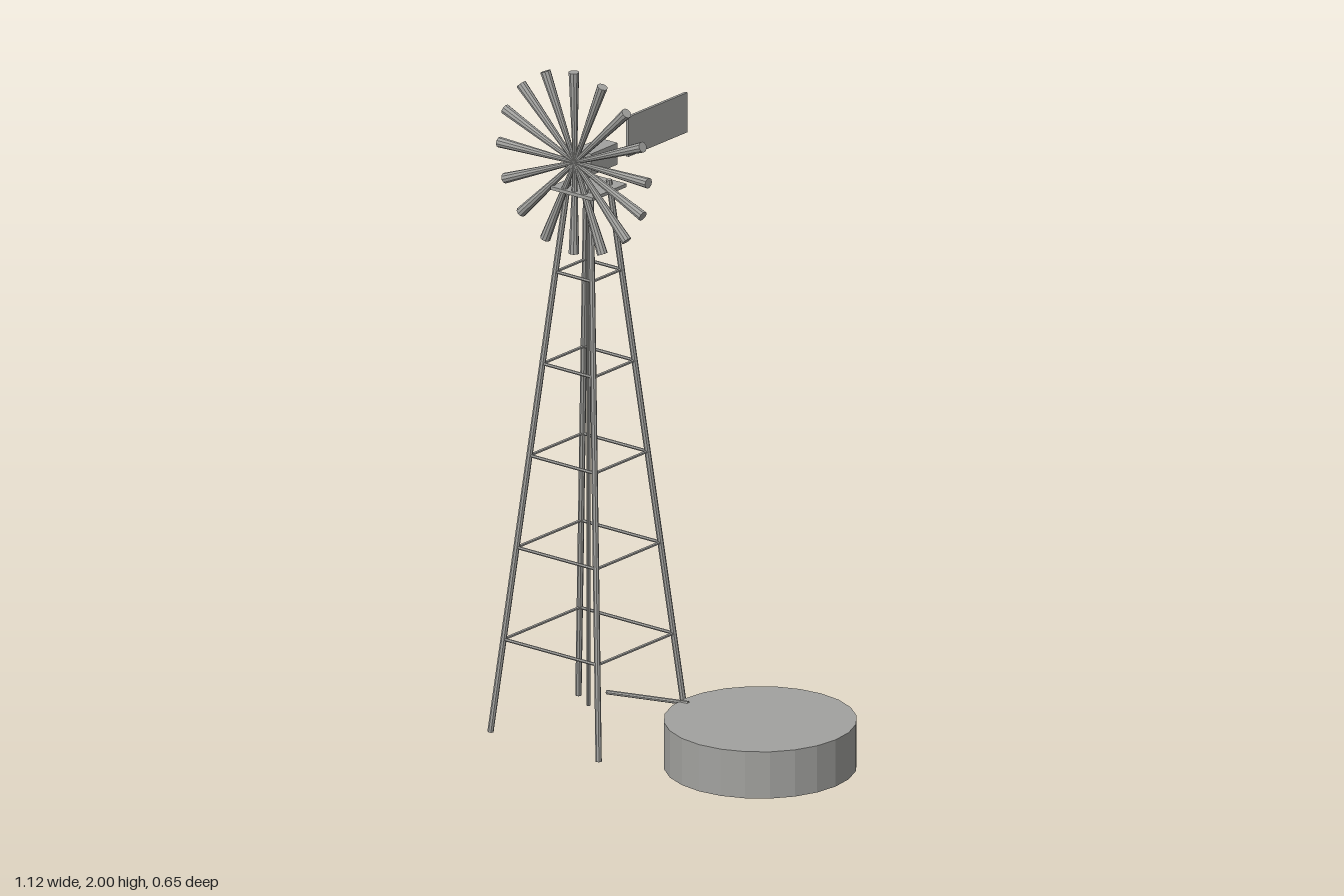
import * as THREE from 'three';

const CX = -0.288, CZ = 0.115; // tower axis
const V = (x, y, z) => new THREE.Vector3(x, y, z);

export function createModel() {
  const model = new THREE.Group();
  model.name = 'windpump';
  const steel = new THREE.MeshStandardMaterial({ color: 0xa2a29f, flatShading: true });
  steel.name = 'galvanised grey';

  const add = (parent, name, geometry, position) => {
    const mesh = new THREE.Mesh(geometry, steel);
    mesh.name = name;
    if (position) mesh.position.copy(position);
    parent.add(mesh);
    return mesh;
  };
  const group = (name) => {
    const g = new THREE.Group();
    g.name = name;
    model.add(g);
    return g;
  };
  // Round bar from a to b, with a radius at each end
  const bar = (parent, name, a, b, ra, rb = ra, sides = 8) => {
    const dir = b.clone().sub(a);
    const mesh = add(parent, name, new THREE.CylinderGeometry(rb, ra, dir.length(), sides),
      a.clone().add(b).multiplyScalar(0.5));
    mesh.quaternion.setFromUnitVectors(V(0, 1, 0), dir.normalize());
    return mesh;
  };

  // Tapering tower: four legs and five square rings of braces
  const tower = group('tower');
  const legTop = 1.655;
  const half = (y) => 0.198 - (0.198 - 0.041) * y / legTop;
  const corners = [[1, 1], [1, -1], [-1, -1], [-1, 1]];
  const corner = ([sx, sz], y) => V(CX + sx * half(y), y, CZ + sz * half(y));
  corners.forEach((c) => bar(tower, 'leg', corner(c, 0.001), corner(c, legTop), 0.009));
  for (let ring = 1; ring <= 5; ring++) {
    const y = 0.276 * ring + 0.003;
    corners.forEach((c, i) =>
      bar(tower, 'brace', corner(c, y), corner(corners[(i + 1) % 4], y), 0.0048, 0.0048, 6));
  }
  bar(tower, 'pumpRod', V(CX, 0.07, CZ), V(CX, 1.617, CZ), 0.0055);
  add(tower, 'platform', new THREE.BoxGeometry(0.154, 0.01, 0.154), V(CX, 1.636, CZ));

  // Gear head and tail vane
  const head = group('head');
  add(head, 'gearbox', new THREE.BoxGeometry(0.064, 0.065, 0.12), V(CX, 1.717, 0.083));
  add(head, 'tailVane', new THREE.BoxGeometry(0.009, 0.12, 0.266), V(CX, 1.738, -0.192));

  // Wheel of sixteen blades that widen outwards
  const wheel = group('wheel');
  wheel.position.set(CX, 1.727, 0);
  for (let i = 0; i < 16; i++) {
    const a = i * Math.PI / 8;
    bar(wheel, 'blade', V(0, 0, 0.176),
      V(Math.cos(a) * 0.273, Math.sin(a) * 0.273, 0.181), 0.006, 0.0155, 10);
  }

  // Water tank and the pipe that fills it
  const water = group('waterSupply');
  add(water, 'tank', new THREE.CylinderGeometry(0.275, 0.275, 0.141, 24), V(0.286, 0.0705, 0.048));
  bar(water, 'pipe', V(-0.222, 0.125, 0.114), V(0.042, 0.14, 0.072), 0.0065);

  return model;
}
